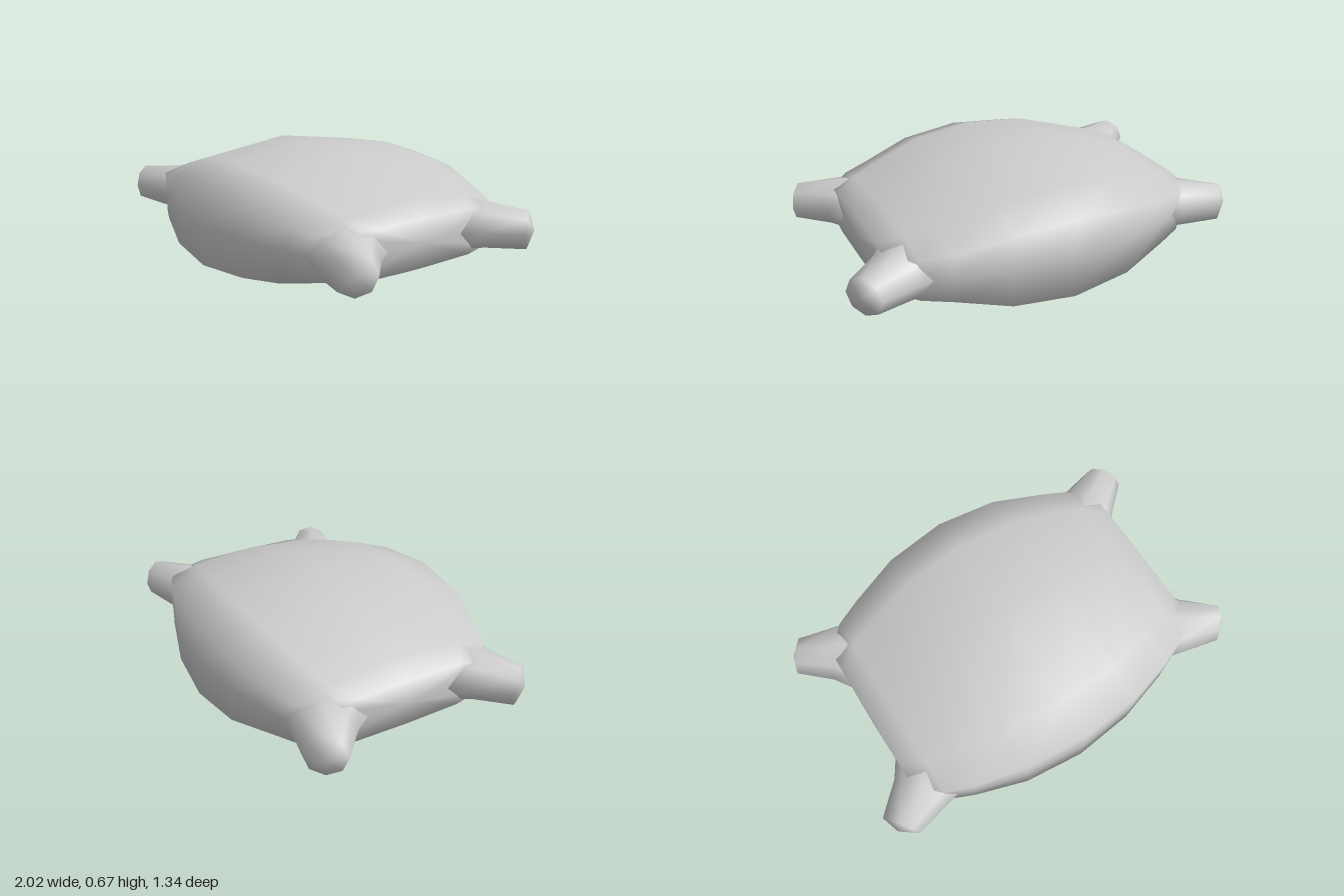
import * as THREE from 'three';

const MID = 0.335; // height of the horizontal symmetry plane

// Smooth closed skin over rings of points; start and end are the cap centres.
function loft(rings, start, end) {
  const n = rings[0].length;
  const points = [...rings.flat(), start, end];
  const first = points.length - 2, last = points.length - 1;
  const index = [];
  for (let i = 0; i < rings.length - 1; i++) {
    for (let j = 0; j < n; j++) {
      const k = (j + 1) % n, a = i * n, b = a + n;
      index.push(a + j, a + k, b + j, a + k, b + k, b + j);
    }
  }
  const top = (rings.length - 1) * n;
  for (let j = 0; j < n; j++) {
    const k = (j + 1) % n;
    index.push(first, k, j, last, top + j, top + k);
  }
  const geometry = new THREE.BufferGeometry().setFromPoints(points);
  geometry.setIndex(index);
  geometry.computeVertexNormals();
  return geometry;
}

// Cross-section of the cushion: half depth w, half heights at centre, shoulder and edge.
function bodyRing(x, w, centre, shoulder, edge) {
  const s = 0.7 * w;
  return [
    [centre, 0], [shoulder, s], [edge, w], [0, w], [-edge, w], [-shoulder, s],
    [-centre, 0], [-shoulder, -s], [-edge, -w], [0, -w], [edge, -w], [shoulder, -s],
  ].map(([y, z]) => new THREE.Vector3(x, MID + y, z));
}

function bodyGeometry() {
  const half = [
    [0.31, 0.64, 0.31, 0.245, 0.175],
    [0.57, 0.565, 0.225, 0.175, 0.115],
    [0.7, 0.51, 0.17, 0.14, 0.1],
    [0.81, 0.4, 0.115, 0.11, 0.085],
  ];
  const stations = [
    ...half.map(([x, ...r]) => [-x, ...r]).reverse(),
    [0, 0.67, 0.335, 0.27, 0.198],
    ...half,
  ];
  return loft(stations.map((s) => bodyRing(...s)),
    new THREE.Vector3(-0.815, MID, 0), new THREE.Vector3(0.815, MID, 0));
}

// Tapered stub pointing diagonally out of one corner.
function stubGeometry(sx, sz) {
  const axis = new THREE.Vector3(0.82 * sx, 0, 0.58 * sz);
  const side = new THREE.Vector3(-axis.z, 0, axis.x);
  const at = (along, across, up) => new THREE.Vector3(0, MID + up, 0)
    .addScaledVector(axis, along).addScaledVector(side, across);
  // distance along the axis, sideways offset, half width, half height
  const stations = [
    [0.6, 0.105, 0.18, 0.13],
    [0.785, 0.105, 0.185, 0.128],
    [0.879, 0.105, 0.148, 0.115],
    [1.07, 0.131, 0.096, 0.094],
  ];
  const rings = stations.map(([along, offset, w, h]) =>
    Array.from({ length: 8 }, (_, i) => {
      const t = (i / 8) * Math.PI * 2;
      return at(along, -offset * sx * sz + w * Math.sin(t), h * Math.cos(t));
    }));
  return loft(rings, at(0.6, -0.105 * sx * sz, 0), at(1.1, -0.134 * sx * sz, 0));
}

export function createModel() {
  const group = new THREE.Group();
  group.name = 'cushion';
  const material = new THREE.MeshStandardMaterial({ color: 0xcccccc });
  const add = (name, geometry) => {
    const mesh = new THREE.Mesh(geometry, material);
    mesh.name = name;
    group.add(mesh);
  };

  add('body', bodyGeometry());

  // One stub on every corner
  for (const sx of [1, -1]) {
    for (const sz of [1, -1]) {
      add(`${sz > 0 ? 'front' : 'back'}${sx > 0 ? 'Left' : 'Right'}Stub`, stubGeometry(sx, sz));
    }
  }
  return group;
}
